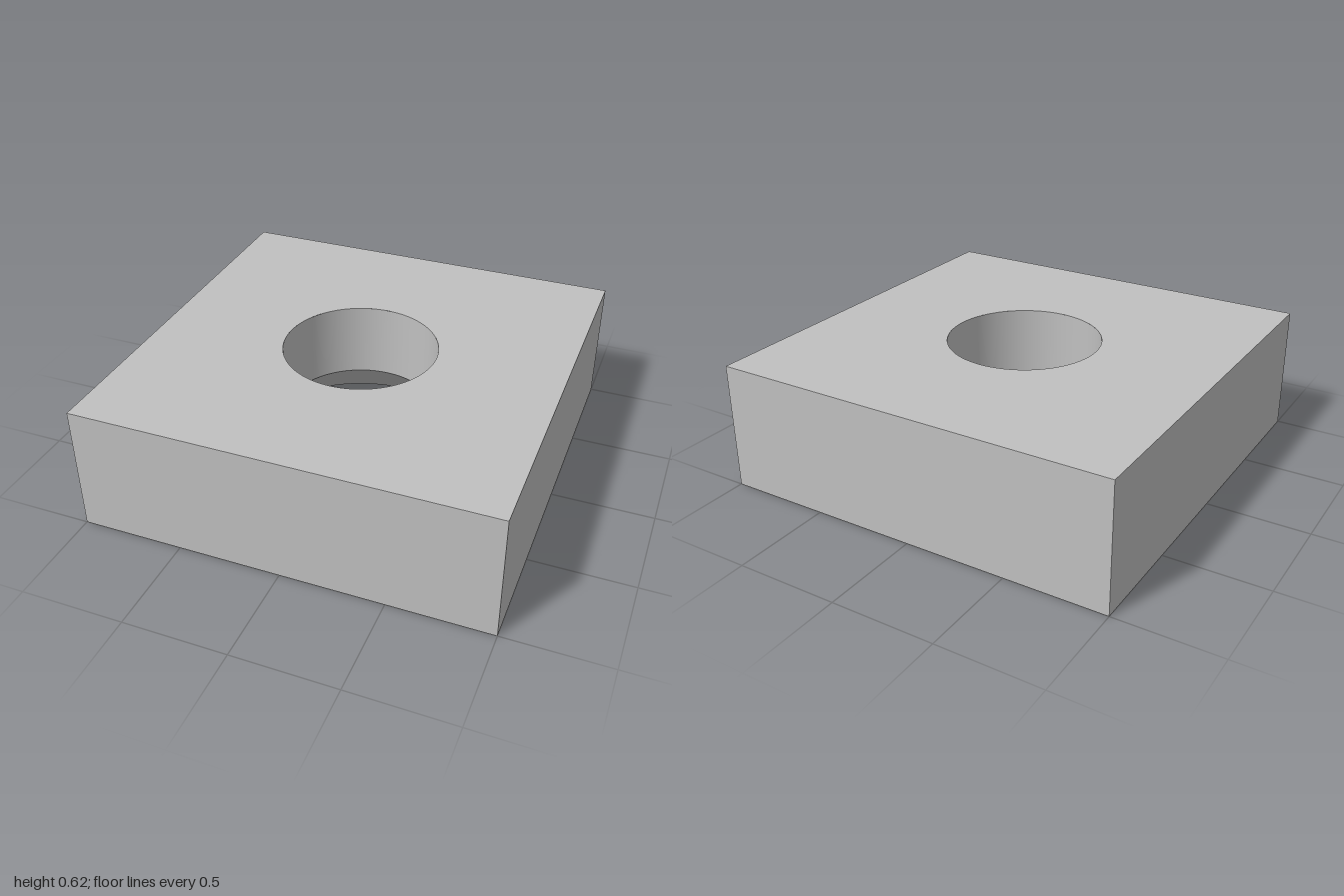
import * as THREE from 'three';

const HALF = 1;
const HEIGHT = 0.625;
const BORE = 0.377;
const SINK = 0.627;
const SINK_DEPTH = 0.25;
const SEGMENTS = 96;

export function createModel() {
  const model = new THREE.Group();
  model.name = 'countersunkBlock';
  const grey = new THREE.MeshStandardMaterial({ color: 0xc0c0c0 });
  grey.name = 'light grey';

  const add = (name, geometry, y = 0) => {
    const mesh = new THREE.Mesh(geometry, grey);
    mesh.name = name;
    mesh.position.y = y;
    model.add(mesh);
    return mesh;
  };

  // Square face with a round hole, lying flat and facing up or down
  const holedFace = (radius, up) => {
    const shape = new THREE.Shape([
      new THREE.Vector2(-HALF, -HALF), new THREE.Vector2(HALF, -HALF),
      new THREE.Vector2(HALF, HALF), new THREE.Vector2(-HALF, HALF),
    ]);
    shape.holes.push(new THREE.Path().absarc(0, 0, radius, 0, Math.PI * 2, true));
    return new THREE.ShapeGeometry(shape, SEGMENTS).rotateX(up ? -Math.PI / 2 : Math.PI / 2);
  };
  add('topFace', holedFace(BORE, true), HEIGHT);
  add('bottomFace', holedFace(SINK, false));

  // Four outer sides
  ['frontSide', 'leftSide', 'backSide', 'rightSide'].forEach((name, i) => {
    const side = new THREE.PlaneGeometry(2 * HALF, HEIGHT).translate(0, 0, HALF);
    add(name, side.rotateY(i * Math.PI / 2), HEIGHT / 2);
  });

  // Inner walls run from top to bottom so that they face the axis
  const wall = (r1, y1, r2, y2) => new THREE.LatheGeometry(
    [new THREE.Vector2(r1, y1), new THREE.Vector2(r2, y2)], SEGMENTS);
  add('bore', wall(BORE, HEIGHT, BORE, SINK_DEPTH));
  add('countersink', wall(BORE, SINK_DEPTH, SINK, 0));

  return model;
}
